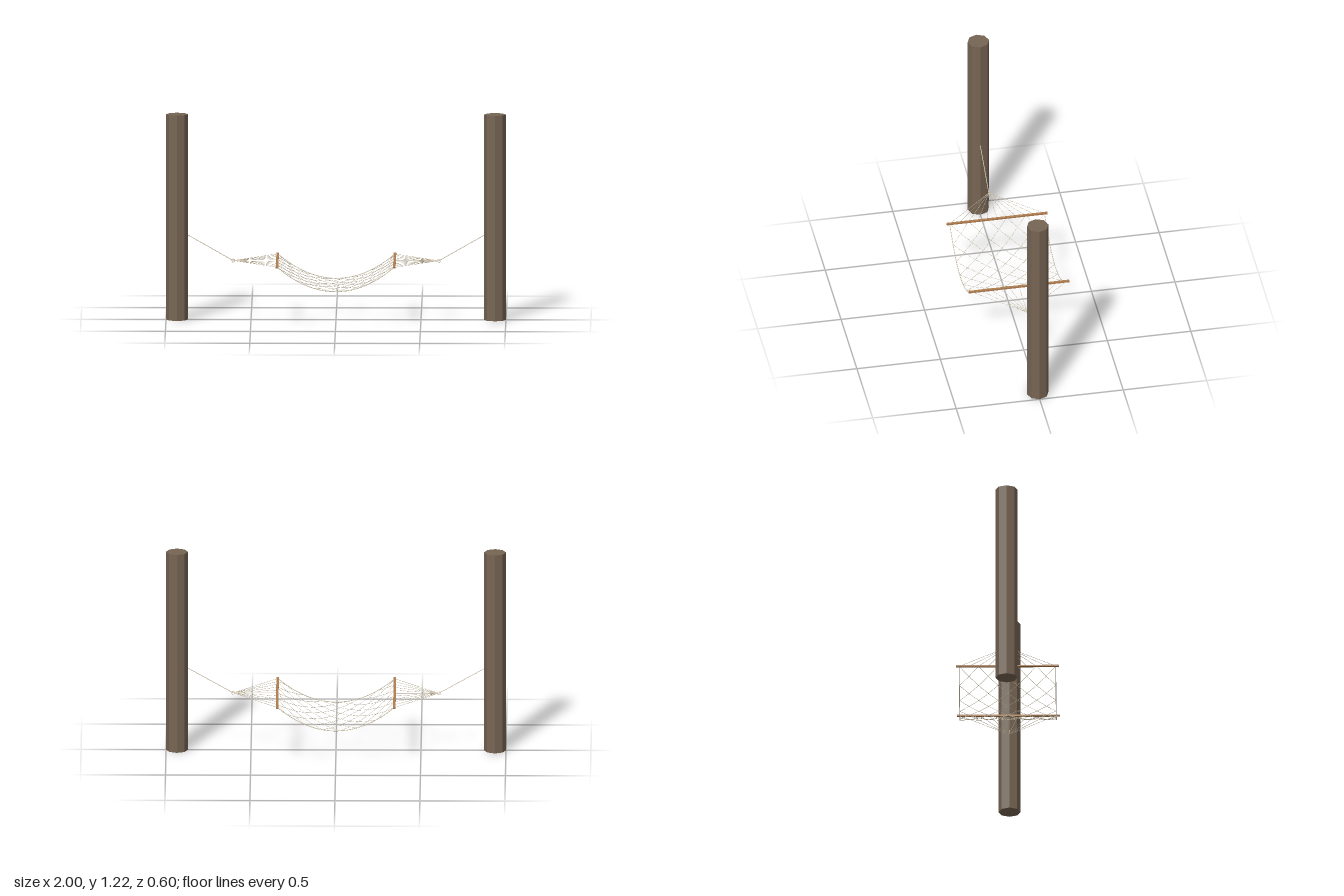
import * as THREE from 'three';
import { mergeGeometries } from 'three/addons/utils/BufferGeometryUtils.js';

const POST_R = 0.0645, POST_H = 1.22, POST_X = 0.9355;
const BAR_X = 0.345, BAR_Y = 0.351, RING_X = 0.605;
const NET_Z = 0.284, NET_LOW = 0.206;
const COLS = 13, ROWS = 10;

const wood = new THREE.MeshStandardMaterial({ name: 'post wood', color: 0x766553, flatShading: true });
const barWood = new THREE.MeshStandardMaterial({ name: 'bar wood', color: 0xb07d4f });
const rope = new THREE.MeshStandardMaterial({ name: 'rope', color: 0xd9cdb4 });

const V = (x, y, z) => new THREE.Vector3(x, y, z);

// Thin straight cord between two points
function cord(a, b, r) {
  return new THREE.TubeGeometry(new THREE.LineCurve3(a, b), 1, r, 5, false);
}

// Point on the sagging bed: u runs -1..1 between the bars, v runs -1..1 across
function bed(u, v) {
  return V(u * BAR_X, NET_LOW + (BAR_Y - NET_LOW) * u * u, v * NET_Z);
}

export function createModel() {
  const model = new THREE.Group();
  model.name = 'hammock';
  const add = (name, geometry, material) => {
    const mesh = new THREE.Mesh(geometry, material);
    mesh.name = name;
    model.add(mesh);
    return mesh;
  };

  for (const s of [-1, 1]) {
    const side = s > 0 ? 'left' : 'right';

    // Octagonal post
    add(side + 'Post', new THREE.CylinderGeometry(POST_R, POST_R, POST_H, 8), wood)
      .position.set(s * POST_X, POST_H / 2, 0);

    // Rope from post to ring
    add(side + 'HangingRope',
      cord(V(s * (POST_X - POST_R + 0.004), 0.505, 0), V(s * RING_X, BAR_Y, 0), 0.0022), rope);

    // Ring
    add(side + 'Ring', new THREE.TorusGeometry(0.009, 0.002, 6, 16), rope)
      .position.set(s * RING_X, BAR_Y, 0);

    // Flat spreader bar
    add(side + 'SpreaderBar', new THREE.BoxGeometry(0.015, 0.009, 0.604), barWood)
      .position.set(s * BAR_X, BAR_Y, 0);

    // Fan of cords from ring to bar
    const fan = [];
    for (let j = 0; j <= ROWS; j++) {
      const z = (2 * j / ROWS - 1) * NET_Z;
      fan.push(cord(V(s * RING_X, BAR_Y, 0), V(s * BAR_X, BAR_Y, z), 0.0011));
    }
    add(side + 'FanCords', mergeGeometries(fan), rope);

    // Border rope along one side of the bed
    const points = [];
    for (let i = 0; i <= 12; i++) points.push(bed(i / 6 - 1, s));
    add(s > 0 ? 'frontBorderRope' : 'backBorderRope',
      new THREE.TubeGeometry(new THREE.CatmullRomCurve3(points), 24, 0.0022, 6, false), rope);
  }

  // Diamond net: one diagonal per cell, alternating in direction
  const net = [];
  for (let i = 0; i < COLS; i++) {
    for (let j = 0; j < ROWS; j++) {
      const up = (i + j) % 2 === 0;
      const at = (t) => bed(2 * (i + t) / COLS - 1, 2 * (j + (up ? t : 1 - t)) / ROWS - 1);
      net.push(cord(at(0), at(1), 0.0011));
    }
  }
  add('net', mergeGeometries(net), rope);

  return model;
}
